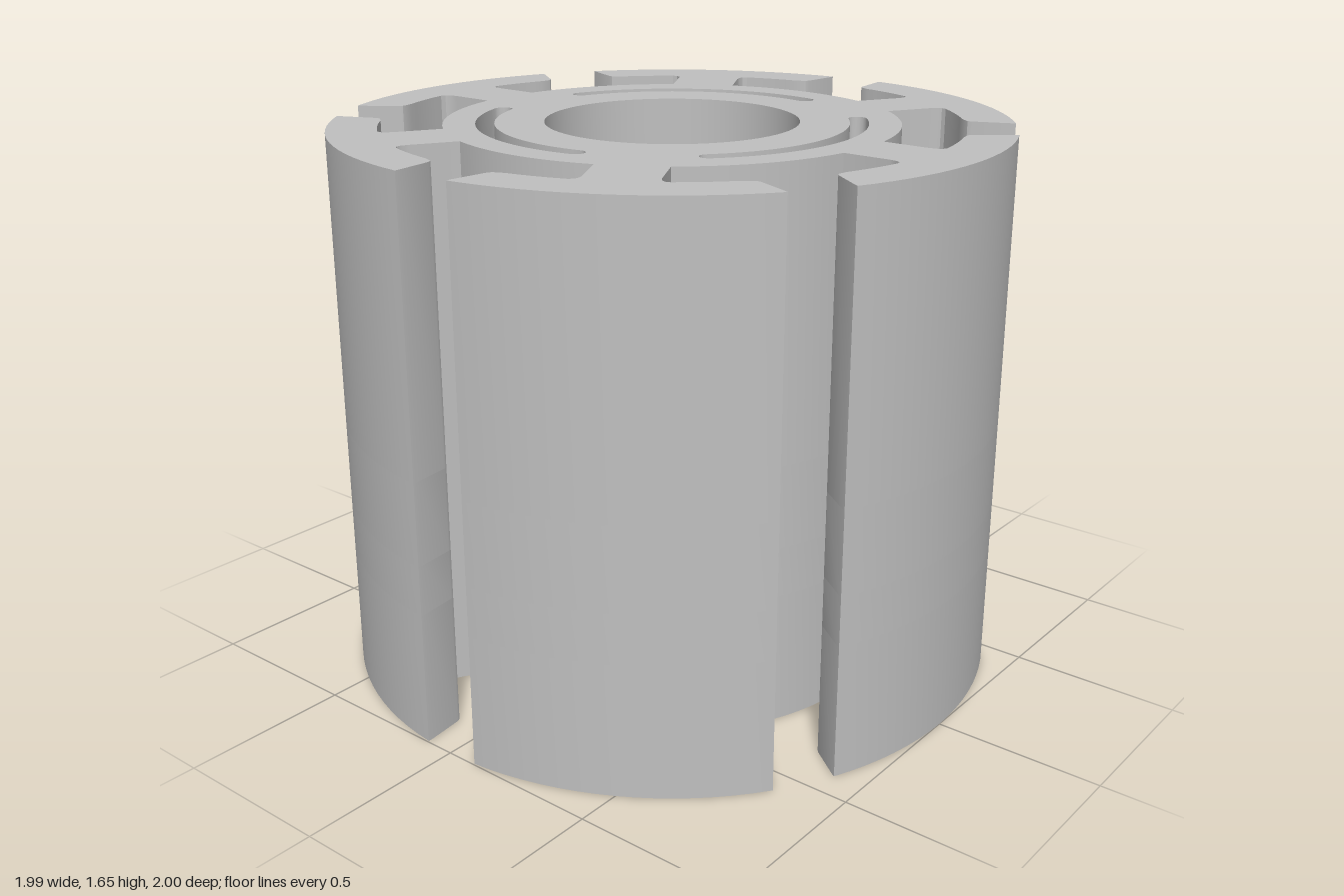
import * as THREE from 'three';
import { toCreasedNormals } from 'three/addons/utils/BufferGeometryUtils.js';

const HEIGHT = 1.654;
const RING = 0.67, SHOE_INNER = 0.855;

const polar = (r, a) => new THREE.Vector2(r * Math.cos(a), r * Math.sin(a));

// points along an arc, both ends included
function arc(r, a0, a1, n) {
  return Array.from({ length: n + 1 }, (_, i) => polar(r, a0 + (a1 - a0) * i / n));
}

const circle = (r) => new THREE.Path(arc(r, 0, Math.PI * 2, 72).slice(0, -1));

// one T-shaped tooth, pointing along +x, from its -y side to its +y side
function toothPoints() {
  const v = (x, y) => new THREE.Vector2(x, y);
  const half = [
    v(0.663, 0.1), v(0.805, 0.1), v(0.828, 0.104), v(0.841, 0.113),
    ...arc(SHOE_INNER, 0.15, 0.355, 5),
    v(0.798, 0.322), v(0.798, 0.333), v(0.806, 0.344), v(0.896, 0.41),
  ];
  const mirrored = half.map((p) => v(p.x, -p.y));
  return [...mirrored, ...arc(1, -0.431, 0.431, 16), ...half.reverse()];
}

// full outline: six teeth joined by the ring between them
function outline() {
  const points = [];
  const origin = new THREE.Vector2();
  const foot = Math.asin(0.1 / RING);
  for (let i = 0; i < 6; i++) {
    const a = Math.PI / 6 + i * Math.PI / 3;
    points.push(...toothPoints().map((p) => p.rotateAround(origin, a)));
    points.push(...arc(RING, a + foot, a + Math.PI / 3 - foot, 10).slice(1, -1));
  }
  return new THREE.Shape(points);
}

// curved slot with round ends
function slot(mid) {
  const r0 = 0.52, r1 = 0.575, half = 0.715;
  const rc = (r0 + r1) / 2, rr = (r1 - r0) / 2;
  const cap = (a, from) => arc(rr, from, from + Math.PI, 8).slice(1, -1)
    .map((p) => p.add(polar(rc, a)));
  return new THREE.Path([
    ...arc(r1, mid - half, mid + half, 28), ...cap(mid + half, mid + half),
    ...arc(r0, mid + half, mid - half, 28), ...cap(mid - half, mid - half + Math.PI),
  ]);
}

const slots = () => [0, 1, 2].map((i) => slot(-Math.PI / 2 + i * Math.PI * 2 / 3));
const hexagon = () => new THREE.Path(arc(0.36, 0, Math.PI * 2, 6).slice(0, -1));

export function createModel() {
  const group = new THREE.Group();
  const grey = new THREE.MeshStandardMaterial({ color: 0xc0c0c0 });
  grey.name = 'grey';

  // upright slice of a shape between two heights
  function slice(name, shape, holes, y0, y1) {
    shape.holes.push(...holes);
    const raw = new THREE.ExtrudeGeometry(shape, { depth: y1 - y0, bevelEnabled: false });
    raw.rotateX(-Math.PI / 2);
    raw.translate(0, y0, 0);
    const mesh = new THREE.Mesh(toCreasedNormals(raw, 0.45), grey);
    mesh.name = name;
    group.add(mesh);
  }

  // lower end: toothed ring and core parted by a round groove
  slice('lowerToothedRing', outline(), [circle(0.605)], 0, 0.4);
  slice('lowerCore', new THREE.Shape(circle(0.52).getPoints()), [circle(0.237)], 0, 0.4);
  // floor with the bolt hole, hexagonal nut pocket, then the wide bore
  slice('boltFloor', outline(), [circle(0.115), ...slots()], 0.4, 0.55);
  slice('nutPocket', outline(), [hexagon(), ...slots()], 0.55, 0.8);
  slice('upperBody', outline(), [circle(0.375), ...slots()], 0.8, HEIGHT);
  return group;
}
